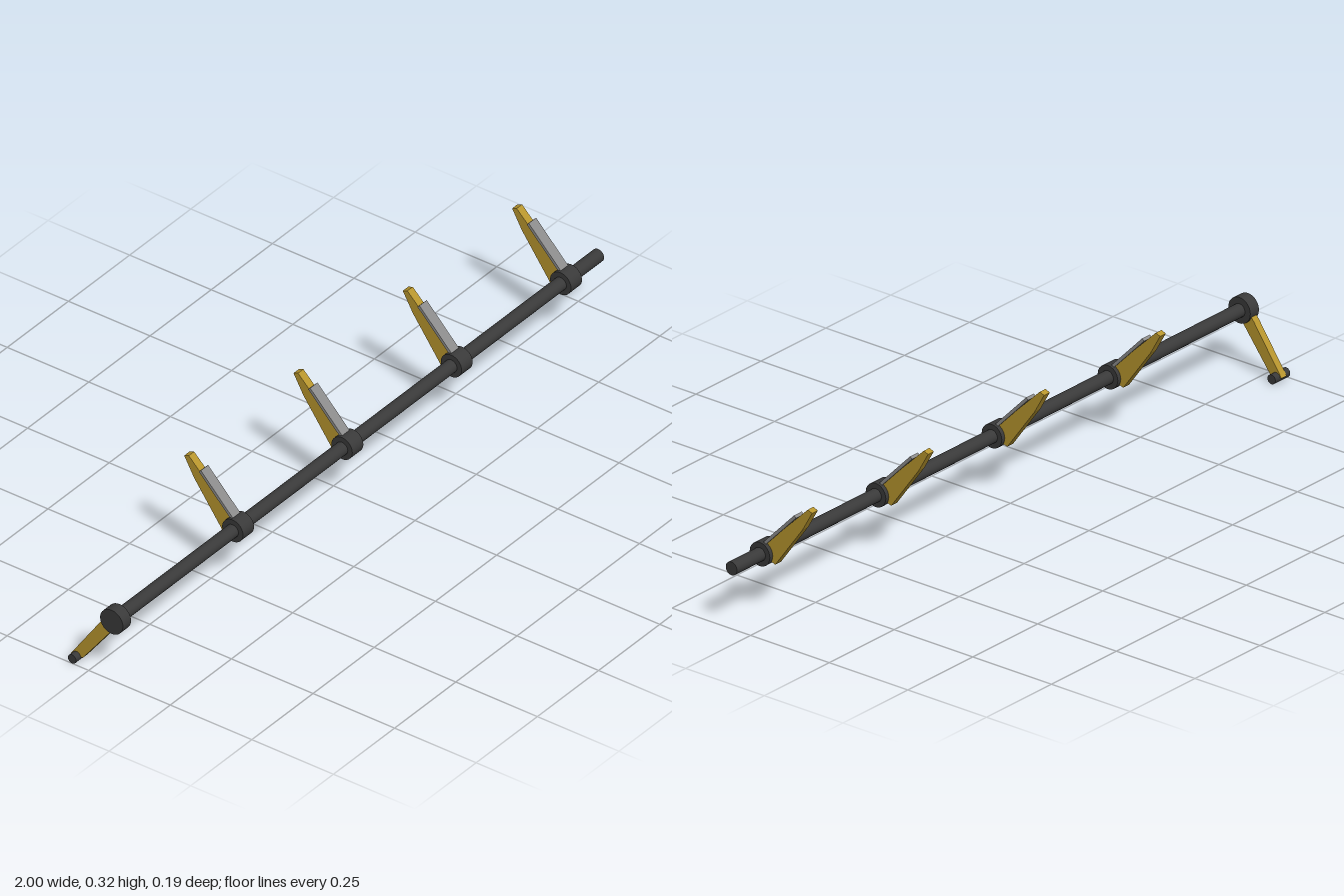
import * as THREE from 'three';

const dark = new THREE.MeshStandardMaterial({ color: 0x3a3a3a });
const yellow = new THREE.MeshStandardMaterial({ color: 0xb8962e });
const grey = new THREE.MeshStandardMaterial({ color: 0x8c8c8c });

const AXIS_Y = 0.1625, AXIS_Z = 0.061;

// Round bar lying along x
function bar(name, radius, x0, x1, y = AXIS_Y, z = AXIS_Z) {
  const geo = new THREE.CylinderGeometry(radius, radius, x1 - x0, 32);
  geo.rotateZ(Math.PI / 2);
  const mesh = new THREE.Mesh(geo, dark);
  mesh.name = name;
  mesh.position.set((x0 + x1) / 2, y, z);
  return mesh;
}

// Flat profile of [z, y] points, given thickness along x and centred on x
function slab(name, points, width, x, material) {
  const shape = new THREE.Shape(points.map(([z, y]) => new THREE.Vector2(-z, y)));
  const geo = new THREE.ExtrudeGeometry(shape, { depth: width, bevelEnabled: false });
  geo.translate(0, 0, -width / 2);
  geo.rotateY(Math.PI / 2);
  const mesh = new THREE.Mesh(geo, material);
  mesh.name = name;
  mesh.position.x = x;
  return mesh;
}

export function createModel() {
  const model = new THREE.Group();
  model.name = 'leverShaft';

  model.add(bar('shaft', 0.018, -0.98, 1));

  // Four fingers, each a hub, a tapered blade and a wear plate
  const blade = [[0.05, 0.15], [0.021, 0.142], [-0.066, 0.262], [-0.096, 0.315],
    [-0.082, 0.3205], [0.047, 0.194]];
  const plate = [[0.06, 0.19], [0.054, 0.184], [-0.048, 0.289], [-0.042, 0.295]];
  for (let i = 0; i < 4; i++) {
    const x = -0.471 + i * 0.4465;
    const finger = new THREE.Group();
    finger.name = 'finger' + (i + 1);
    finger.add(
      bar('fingerHub', 0.032, x - 0.0225, x + 0.0225),
      slab('fingerBlade', blade, 0.022, x, yellow),
      slab('wearPlate', plate, 0.03, x, grey),
    );
    model.add(finger);
  }

  // Crank at the right end, with a cross pin at its foot
  const crank = new THREE.Group();
  crank.name = 'crank';
  const arm = [[0.07, 0.15], [0.055, 0.128], [-0.032, 0.014], [-0.068, 0.014],
    [0.021, 0.142], [0.045, 0.17]];
  crank.add(
    bar('crankHub', 0.035, -0.988, -0.955),
    slab('crankArm', arm, 0.02, -0.9715, yellow),
    bar('crankPin', 0.0127, -1, -0.943, 0.0127, -0.051),
  );
  model.add(crank);

  return model;
}
